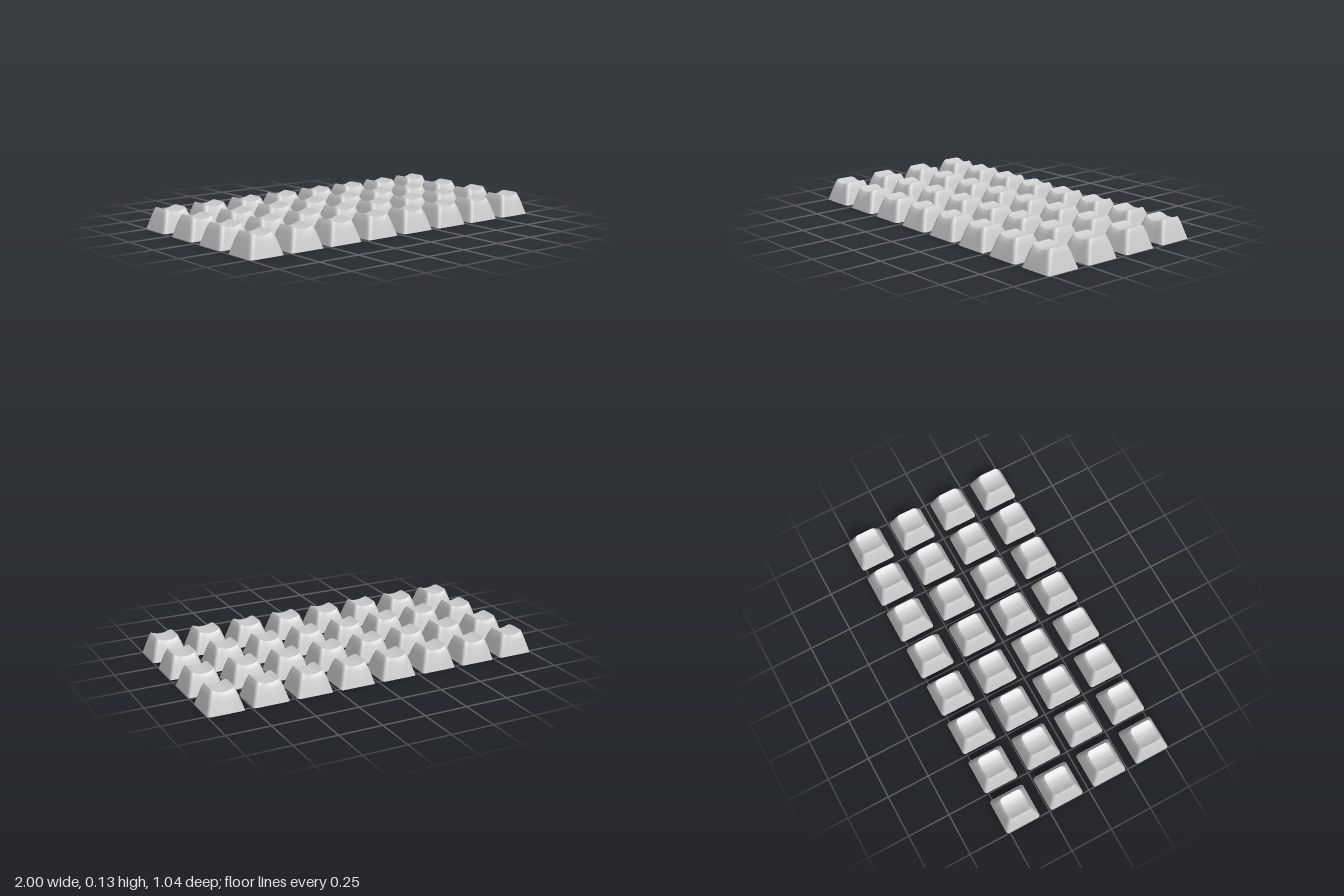
import * as THREE from 'three';
import { toCreasedNormals } from 'three/addons/utils/BufferGeometryUtils.js';

const HEIGHT = 0.128, TOP = 0.067, DISH = 0.019;
const ARC = 4, EDGE = 8;

// Outline of a rounded square, as [x, z] points
function roundedSquare(half, radius) {
  const points = [], inner = half - radius;
  for (let k = 0; k < 4; k++) {
    const cx = inner * (k === 0 || k === 3 ? 1 : -1);
    const cz = inner * (k < 2 ? 1 : -1);
    for (let i = 0; i <= ARC; i++) {
      const a = (k + i / ARC) * Math.PI / 2;
      points.push([cx + radius * Math.cos(a), cz + radius * Math.sin(a)]);
    }
    // straight run to the next corner
    const [x, z] = points[points.length - 1];
    const dx = [-1, 0, 1, 0][k], dz = [0, -1, 0, 1][k];
    for (let i = 1; i < EDGE; i++) {
      const d = 2 * inner * i / EDGE;
      points.push([x + dx * d, z + dz * d]);
    }
  }
  return points;
}

// One keycap: flat base, tapering sides, top hollowed like a trough along z
function keycapGeometry() {
  // [half width, height, corner radius], from base centre to top centre
  const rings = [
    [0, 0, 0], [0.105, 0, 0.016],
    [0.092, 0.045, 0.018], [0.079, 0.09, 0.02], [TOP, 0.124, 0.022],
    [0.064, HEIGHT, 0.021],
    [0.048, HEIGHT, 0.014], [0.032, HEIGHT, 0.008], [0.016, HEIGHT, 0.003], [0, HEIGHT, 0],
  ];
  const positions = [], index = [];
  rings.forEach(([half, y, radius]) => {
    for (const [x, z] of roundedSquare(half, radius)) {
      const hollow = DISH * Math.max(0, 1 - (x / 0.064) ** 2) * (y / HEIGHT) ** 2;
      positions.push(x, y - hollow, z);
    }
  });
  const n = 4 * (ARC + EDGE);
  for (let i = 0; i < rings.length - 1; i++) {
    for (let j = 0; j < n; j++) {
      const a = i * n + j, b = i * n + (j + 1) % n;
      if (rings[i][0] > 0) index.push(a, a + n, b);
      if (rings[i + 1][0] > 0) index.push(b, a + n, b + n);
    }
  }
  const geometry = new THREE.BufferGeometry();
  geometry.setAttribute('position', new THREE.Float32BufferAttribute(positions, 3));
  geometry.setIndex(index);
  return toCreasedNormals(geometry, Math.PI / 5);
}

export function createModel() {
  const model = new THREE.Group();
  model.name = 'keycapSet';
  const material = new THREE.MeshStandardMaterial({ color: 0xcccccc });
  const geometry = keycapGeometry();

  // Four rows of eight keycaps
  for (let row = 0; row < 4; row++) {
    const keyRow = new THREE.Group();
    keyRow.name = `keyRow${row + 1}`;
    keyRow.position.z = (row - 1.5) * 0.2757;
    for (let col = 0; col < 8; col++) {
      const key = new THREE.Mesh(geometry, material);
      key.name = `keycap${col + 1}`;
      key.position.x = (col - 3.5) * 0.2557;
      keyRow.add(key);
    }
    model.add(keyRow);
  }
  return model;
}
